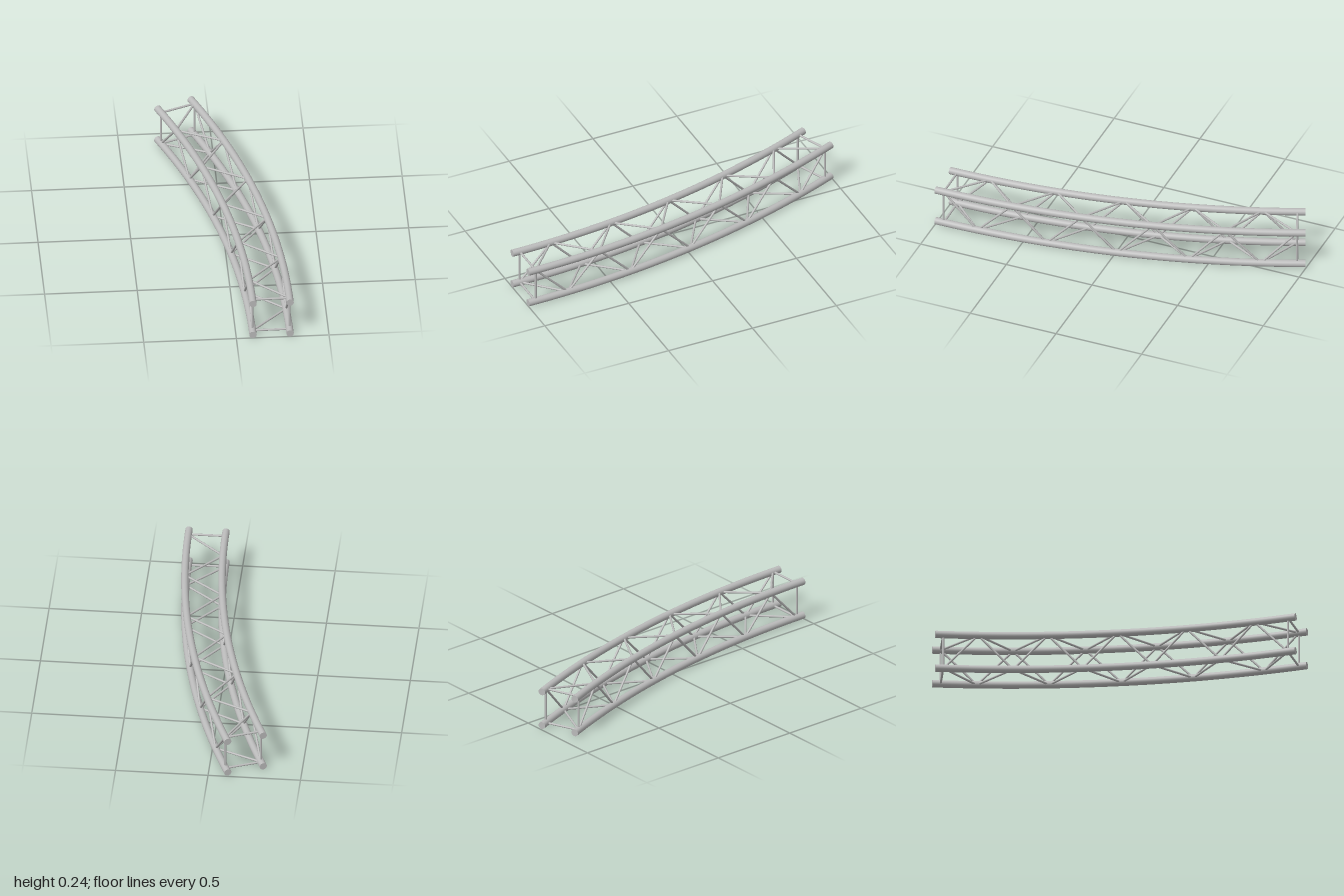
import * as THREE from 'three';

const SWEEP = Math.PI / 8;          // whole arc, 22.5 degrees
const INNER = 5.006, OUTER = 5.206; // chord bend radii
const LOW = 0.02, HIGH = 0.22;      // chord heights
const CX = 0.29 - OUTER, CZ = 1;    // centre of the bend
const TUBE = 0.02, ROD = 0.006;
const PANELS = 10, MARGIN = THREE.MathUtils.degToRad(0.5);

const onArc = (r, a, y) => new THREE.Vector3(CX + r * Math.cos(a), y, CZ - r * Math.sin(a));

export function createModel() {
  const root = new THREE.Group();
  root.name = 'curvedTruss';
  const metal = new THREE.MeshStandardMaterial({ color: 0xbbbbbb });
  metal.name = 'aluminium grey';

  const add = (parent, geometry, name) => {
    const mesh = new THREE.Mesh(geometry, metal);
    mesh.name = name;
    parent.add(mesh);
    return mesh;
  };

  // Main chords: bent tubes with closed ends
  const chord = (r, y, name) => {
    const group = new THREE.Group();
    group.name = name;
    const tube = new THREE.TorusGeometry(r, TUBE, 24, 32, SWEEP).rotateX(-Math.PI / 2);
    add(group, tube, 'tube').position.set(CX, y, CZ);
    for (const a of [0, SWEEP]) {
      const cap = add(group, new THREE.CircleGeometry(TUBE, 24), 'endCap');
      cap.position.copy(onArc(r, a, y));
      cap.rotation.y = a === 0 ? 0 : Math.PI + a;
    }
    root.add(group);
  };
  chord(INNER, LOW, 'innerLowerChord');
  chord(INNER, HIGH, 'innerUpperChord');
  chord(OUTER, LOW, 'outerLowerChord');
  chord(OUTER, HIGH, 'outerUpperChord');

  // Thin rod between two points
  const up = new THREE.Vector3(0, 1, 0);
  const rod = (parent, p, q, name) => {
    const dir = q.clone().sub(p);
    const mesh = add(parent, new THREE.CylinderGeometry(ROD, ROD, dir.length(), 12, 1, true), name);
    mesh.position.copy(p).add(q).multiplyScalar(0.5);
    mesh.quaternion.setFromUnitVectors(up, dir.normalize());
  };

  // Each face runs between an even-node chord and an odd-node chord
  const faces = [
    { name: 'innerLacing', even: [INNER, LOW], odd: [INNER, HIGH] },
    { name: 'outerLacing', even: [OUTER, HIGH], odd: [OUTER, LOW] },
    { name: 'topLacing', even: [OUTER, HIGH], odd: [INNER, HIGH] },
    { name: 'bottomLacing', even: [INNER, LOW], odd: [OUTER, LOW] },
  ];
  const angle = (k) => MARGIN + (SWEEP - 2 * MARGIN) * k / PANELS;
  const node = ([r, y], k) => onArc(r, angle(k), y);

  for (const { name, even, odd } of faces) {
    const group = new THREE.Group();
    group.name = name;
    // Zigzag diagonals
    for (let k = 0; k < PANELS; k++) {
      const [from, to] = k % 2 ? [odd, even] : [even, odd];
      rod(group, node(from, k), node(to, k + 1), 'diagonal');
    }
    // Square struts closing both ends
    for (const k of [0, PANELS]) rod(group, node(even, k), node(odd, k), 'endStrut');
    root.add(group);
  }
  return root;
}
